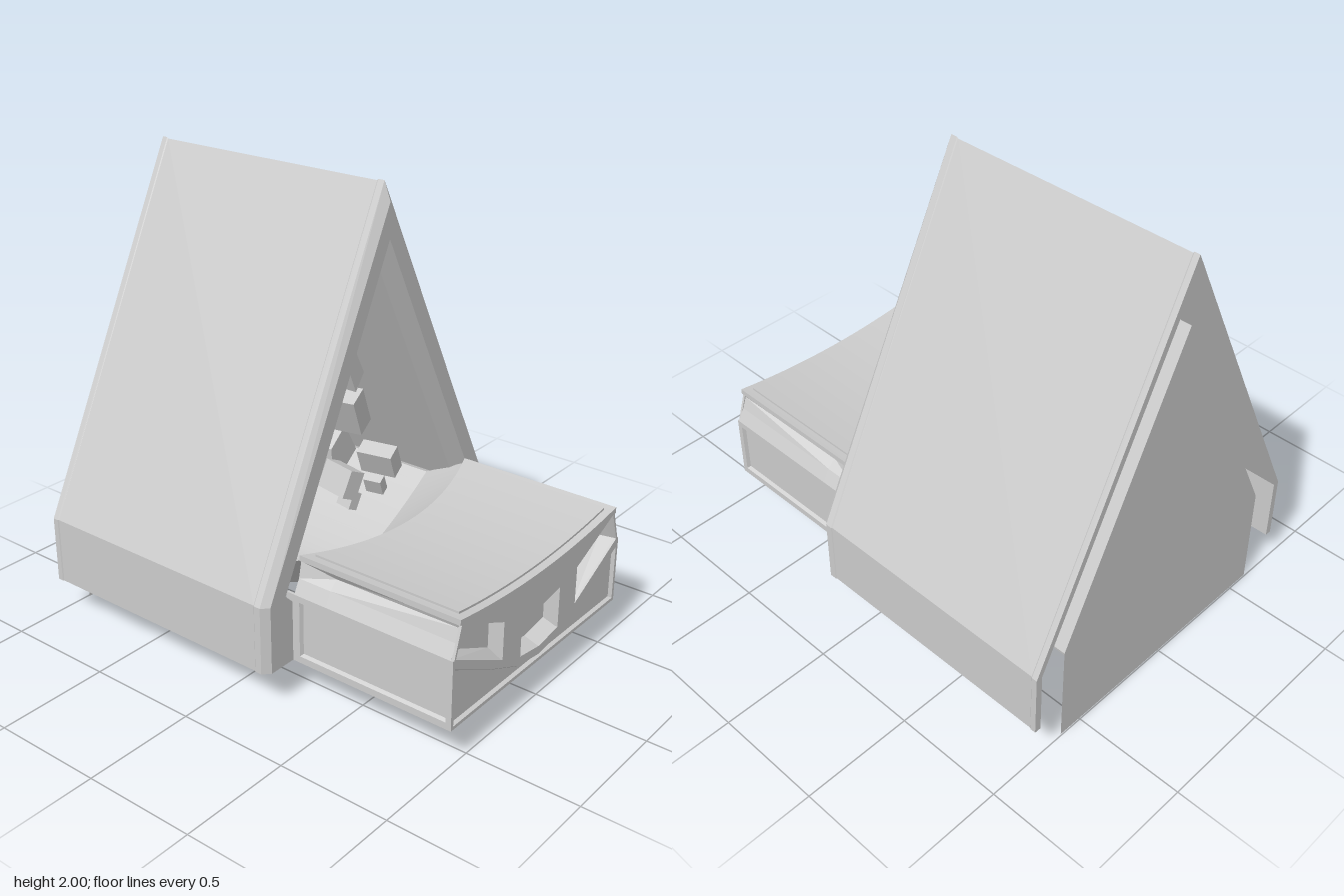
import * as THREE from 'three';

const solid = new THREE.MeshStandardMaterial({ color: 0xcccccc });
const sheet = new THREE.MeshStandardMaterial({ color: 0xcccccc, side: THREE.DoubleSide });

// Mirrored outline points: the +x half runs bottom to top, ending on the centre line
const mirror = half => {
  const other = half.filter(p => p[0] > 0).reverse().map(([x, y]) => [-x, y]);
  return [...half, ...other];
};

// Faceted skin between successive sections [z, points]
function loft(sections) {
  const pos = [];
  for (let s = 0; s + 1 < sections.length; s++) {
    const [za, a] = sections[s], [zb, b] = sections[s + 1];
    for (let i = 0; i + 1 < a.length; i++) {
      const p = [...a[i], za], q = [...a[i + 1], za], r = [...b[i + 1], zb], t = [...b[i], zb];
      pos.push(...p, ...q, ...r, ...p, ...r, ...t);
    }
  }
  const g = new THREE.BufferGeometry();
  g.setAttribute('position', new THREE.Float32BufferAttribute(pos, 3));
  g.computeVertexNormals();
  return g;
}

const path = pts => pts.map(([x, y]) => new THREE.Vector2(x, y));
const face = (pts, z) => new THREE.ShapeGeometry(new THREE.Shape(path(pts))).translate(0, 0, z);

// Flat plate with optional holes, its front face at z = front
function plate(pts, holes, front, depth) {
  const shape = new THREE.Shape(path(pts));
  holes.forEach(h => shape.holes.push(new THREE.Path(path(h))));
  const g = new THREE.ExtrudeGeometry(shape, { depth, bevelEnabled: false });
  return g.translate(0, 0, front - depth);
}

const rect = (x0, y0, x1, y1) => [[x0, y0], [x1, y0], [x1, y1], [x0, y1]];
const flip = pts => pts.map(([x, y]) => [-x, y]).reverse();
const sag = x => 0.565 + 0.045 * (x / 0.57) ** 2;
const rear = x => 0.235 + 0.11 * (1 - (x / 0.57) ** 2);

// Sagging slab whose rear edge is bowed
function saggingSlab(width, thick, lift, rearShift, front) {
  const g = new THREE.BoxGeometry(width, thick, 1, 24, 1, 1);
  const p = g.attributes.position;
  for (let i = 0; i < p.count; i++) {
    const x = p.getX(i);
    p.setZ(i, p.getZ(i) > 0 ? front : rear(x) + rearShift);
    p.setY(i, p.getY(i) + sag(x) + lift);
  }
  g.computeVertexNormals();
  return g;
}

// Sheet across the width; edge functions give [x, y, z] for u in -1..1
function bowedSheet(back, front) {
  const g = new THREE.PlaneGeometry(2, 2, 24, 1).rotateX(-Math.PI / 2);
  const p = g.attributes.position;
  for (let i = 0; i < p.count; i++) p.setXYZ(i, ...(p.getZ(i) < 0 ? back : front)(p.getX(i)));
  g.computeVertexNormals();
  return g;
}

export function createModel() {
  const model = new THREE.Group();
  const add = (name, geometry, material = sheet, parent = model) => {
    const m = new THREE.Mesh(geometry, material);
    m.name = name;
    parent.add(m);
    return m;
  };
  // Tapered pocket from outline a to the smaller outline b
  const pocket = (name, a, b, front, back, parent) => {
    add(name + 'Rim', loft([[front, [...a, a[0]]], [back, [...b, b[0]]]]), sheet, parent);
    add(name, face(b, back), sheet, parent);
  };

  // A-shaped roof: hollow shell, sunken outer panel, bevelled front frame and jamb
  const gable = (x, apex) => mirror([[x, 0.16], [x, 0.44], [x, 0.46], [0, apex]]);
  const outer = gable(0.77, 2), sunk = gable(0.766, 1.994), under = gable(0.74, 1.93);
  const opening = mirror([[0.61, 0.16], [0.61, 0.43], [0.65, 0.47], [0, 1.77]]);
  const jamb = mirror([[0.61, 0.16], [0.61, 0.43], [0.61, 0.48], [0, 1.7]]);
  add('roof', loft([
    [0.2, under], [-1, under], [-1, outer], [-0.975, outer], [-0.97, sunk],
    [0.165, sunk], [0.17, outer], [0.2, outer], [0.23, gable(0.74, 1.92)], [0.23, opening], [0.15, jamb],
  ]));

  // Inner lining and back wall
  const lining = mirror([[0.61, 0.48], [0, 1.7]]);
  add('innerLining', loft([[0.15, lining], [-0.995, lining]]));
  add('backWall', face(mirror([[0.61, 0], [0.61, 0.48], [0, 1.7]]), -0.995));

  // Deep hull-shaped floor, then a ramp up to the bowed edge of the deck
  const hull = z => u => [0.61 * u, 0.2 + 0.27 * Math.abs(u) ** 1.5, z];
  const deckEdge = u => [0.57 * u, sag(0.57 * u) - 0.01, rear(0.57 * u)];
  add('floor', bowedSheet(hull(-0.995), hull(0)));
  add('floorRamp', bowedSheet(hull(0), deckEdge));

  // Curved deck lid with a raised panel
  add('deckLid', saggingSlab(1.14, 0.025, 0, 0, 1), solid);
  add('deckPanel', saggingSlab(1.06, 0.012, 0.016, 0.033, 0.965), solid);

  // Front fascia with three tapered recesses
  const top = Array.from({ length: 17 }, (_, i) => 0.56 - 0.07 * i).map(x => [x, sag(x) - 0.01]);
  const low = mirror([[0.61, 0.44], [0.35, 0.31], [0.15, 0.225], [0, 0.2]]);
  const side = [[0.27, 0.3], [0.592, 0.465], [0.548, 0.595], [0.27, 0.47]];
  const sideBack = [[0.27, 0.33], [0.57, 0.47], [0.54, 0.56], [0.27, 0.445]];
  const centre = [[-0.14, 0.25], [0, 0.23], [0.14, 0.25], [0.14, 0.435], [0, 0.415], [-0.14, 0.435]];
  const centreBack = [[-0.14, 0.27], [0, 0.25], [0.14, 0.27], [0.14, 0.42], [0, 0.4], [-0.14, 0.42]];
  const recesses = [[side, sideBack], [flip(side), flip(sideBack)], [centre, centreBack]];
  add('fascia', plate([...top, ...low.slice().reverse()], recesses.map(r => r[0]), 1, 0.012), solid);
  recesses.forEach(([a, b]) => pocket('recess', a, b, 0.99, 0.93));

  // Base box: framed front and sides with sunken panels
  const base = [[-0.61, 0.16], [0.61, 0.16], ...low];
  const inset = [[-0.595, 0.175], [0.595, 0.175], ...mirror([[0.595, 0.425], [0.35, 0.3], [0.15, 0.213], [0, 0.192]])];
  const insetBack = [[-0.587, 0.182], [0.587, 0.182], ...mirror([[0.587, 0.412], [0.35, 0.29], [0.15, 0.203], [0, 0.186]])];
  add('frontFrame', plate(base, [inset], 1, 0.012), solid);
  pocket('frontPanel', inset, insetBack, 1, 0.985);
  for (const s of [1, -1]) {
    const flank = new THREE.Group();
    flank.name = s > 0 ? 'leftFlank' : 'rightFlank';
    flank.rotation.y = s * Math.PI / 2;
    const span = (a, b) => (s > 0 ? [-b, -a] : [a, b]);
    const [o0, o1] = span(0.2, 1), [i0, i1] = span(0.265, 0.975);
    const hole = rect(i0, 0.19, i1, 0.437);
    const holeBack = rect(i0 + 0.008, 0.198, i1 - 0.008, 0.429);
    add('flankFrame', plate(rect(o0, 0.16, o1, 0.465), [hole], 0.61, 0.012), solid, flank);
    pocket('flankPanel', hole, holeBack, 0.61, 0.595, flank);
    model.add(flank);

    // Grooved shoulder between the base and the lid, deepest towards the rear
    const shoulder = (y, x) => [[0.61, 0.465], [0.58, 0.525], [x, y], [0.57, 0.608]].map(p => [s * p[0], p[1]]);
    add('shoulder', loft([[0.24, shoulder(0.595, 0.565)], [0.4, shoulder(0.56, 0.54)], [0.99, shoulder(0.58, 0.56)]]));
  }

  // Inner ornaments: leaning blocks, wedges and a stack of shrinking chevrons
  for (const s of [1, -1]) {
    [[0.19, 0.89, -0.13, 0.1, 0.19, 0.14], [0.13, 0.74, 0.09, 0.075, 0.12, 0.16], [0.09, 0.64, 0.1, 0.045, 0.075, 0.08]]
      .forEach(([x, y, z, w, h, d]) => {
        const b = add('leaningBlock', new THREE.BoxGeometry(w, h, d), solid);
        b.position.set(s * x, y, z);
        b.rotation.set(0, s * 0.2, s * 0.42);
      });
    [[[0.22, 0.65], [0.32, 0.735], [0.4, 0.59], [0.24, 0.46]],
      [[0.14, 0.61], [0.2, 0.66], [0.24, 0.57], [0.16, 0.46]]].forEach((w, i) => {
      add('wedge', plate(s > 0 ? w : flip(w), [], -0.25 - 0.15 * i, 0.08), solid);
    });
  }
  [[1.38, 0.135, 0.34, 0], [1.06, 0.09, 0.23, -0.3], [0.85, 0.06, 0.155, -0.35],
    [0.73, 0.045, 0.11, -0.4], [0.66, 0.035, 0.09, -0.4]].forEach(([y, w, h, z]) => {
    const half = [[0, y - h * 0.45], [w * 0.6, y - h], [w, y - h * 0.78], [0, y]];
    add('chevron', plate([...half, [-w, y - h * 0.78], [-w * 0.6, y - h]], [], z, 0.06), solid);
  });

  return model;
}
